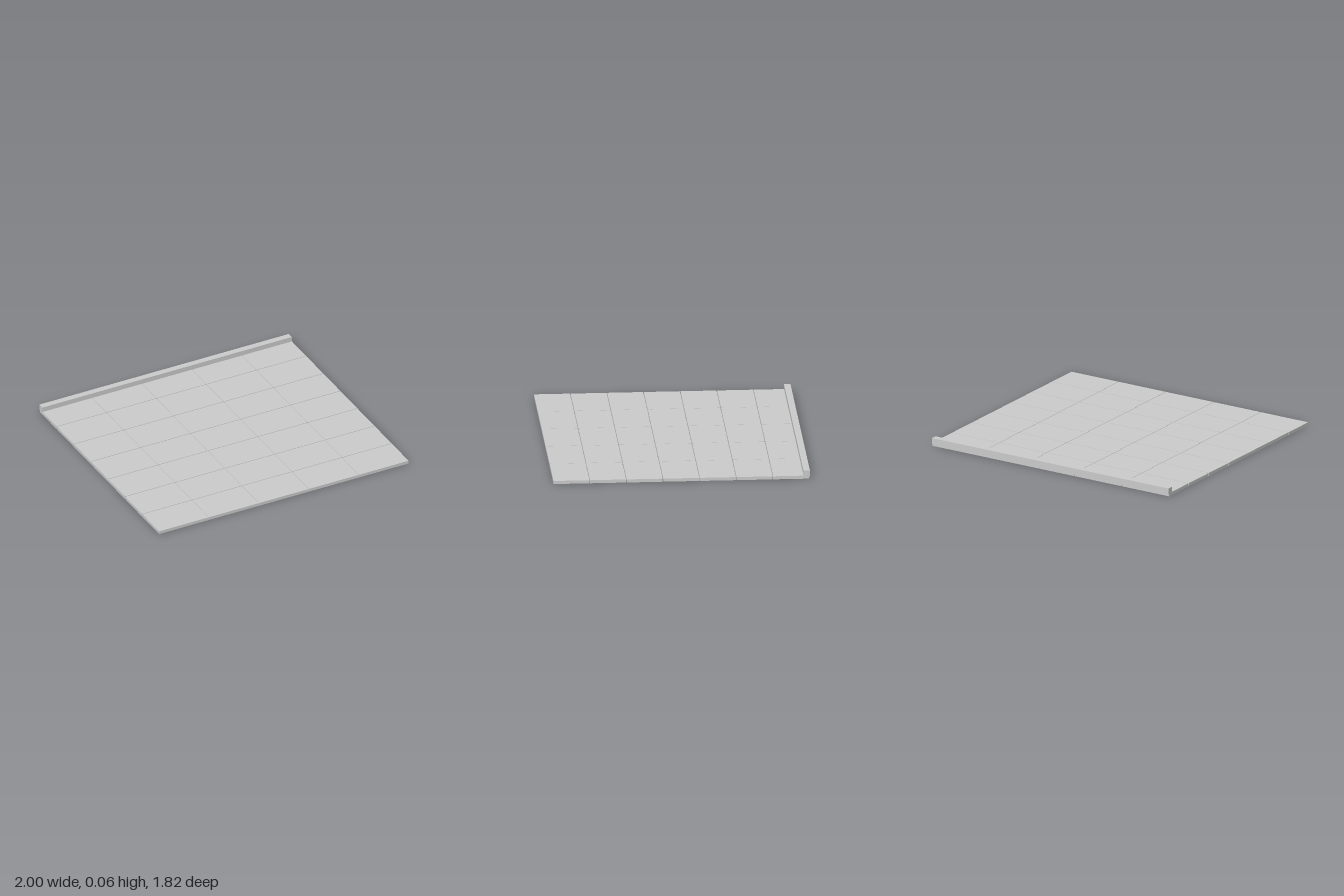
import * as THREE from 'three';

export function createModel() {
  const group = new THREE.Group();
  group.name = 'tiledTerrace';
  const material = new THREE.MeshStandardMaterial({ color: 0xcccccc });

  const addBox = (name, min, max) => {
    const size = max.map((v, i) => v - min[i]);
    const mesh = new THREE.Mesh(new THREE.BoxGeometry(...size), material);
    mesh.position.set(...min.map((v, i) => (v + max[i]) / 2));
    mesh.name = name;
    group.add(mesh);
  };

  // Paving slabs, five across and seven deep, with narrow open joints
  const columns = 5, rows = 7, gapX = 0.003, gapZ = 0.005, thickness = 0.023;
  const front = 0.912, back = -0.906;
  const width = (2 - gapX * (columns - 1)) / columns;
  const depth = (front - back - gapZ * (rows - 1)) / rows;
  for (let r = 0; r < rows; r++) {
    for (let c = 0; c < columns; c++) {
      const x = -1 + c * (width + gapX);
      const z = back + r * (depth + gapZ);
      addBox(`slab_${r + 1}_${c + 1}`, [x, 0, z], [x + width, thickness, z + depth]);
    }
  }

  // Raised kerb along the back edge, overlapping the last row of slabs
  addBox('kerb', [-1, 0.016, -0.912], [1, 0.06, -0.866]);

  return group;
}
